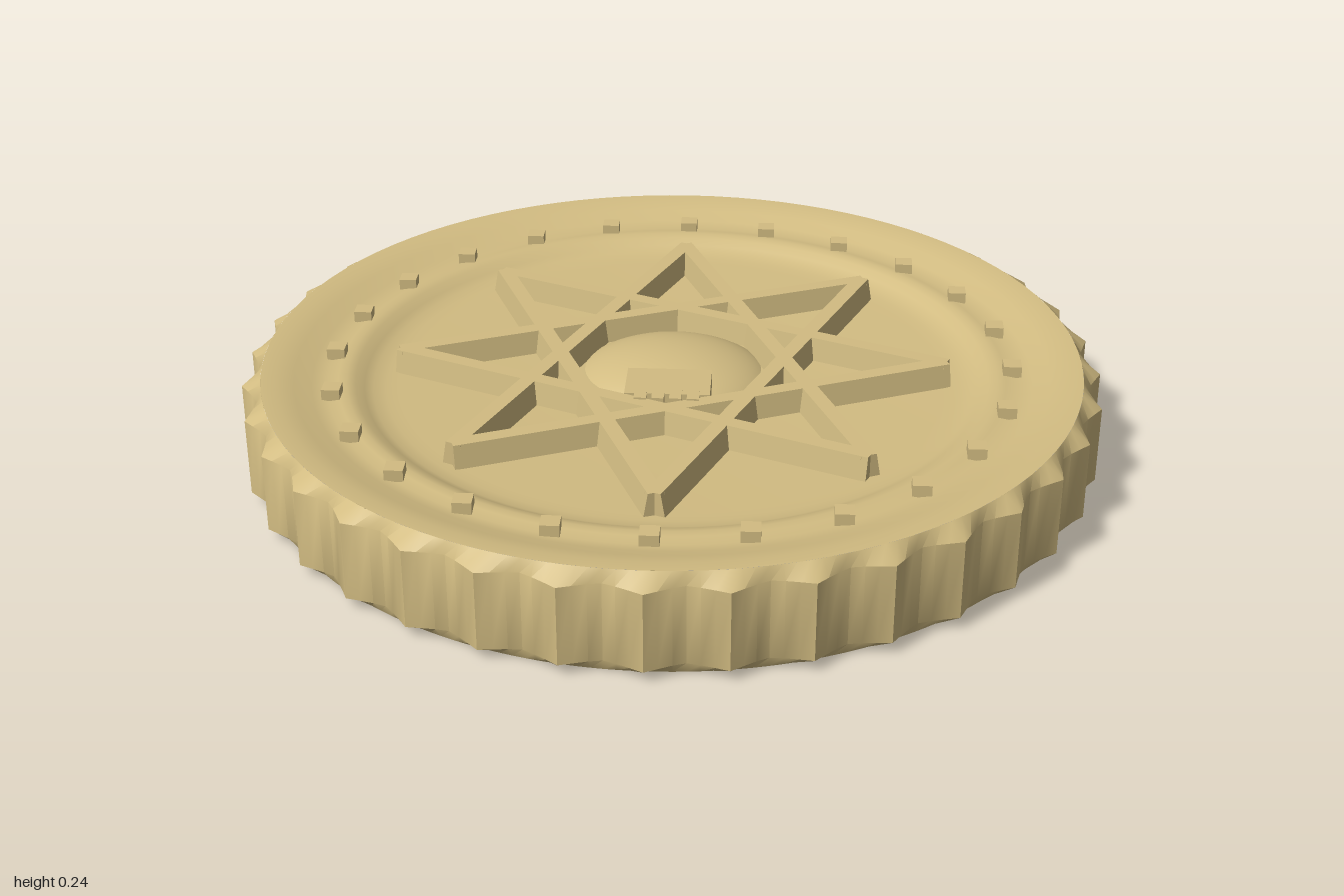
import * as THREE from 'three';
import { toCreasedNormals } from 'three/addons/utils/BufferGeometryUtils.js';

const HEIGHT = 0.24;
const RIDGES = 36;

// Scalloped edge: rings of a rippled circle, bevelled at top and bottom
function ridgedBand() {
  const steps = 6, n = RIDGES * steps;
  const rings = [[0, 0], [0.028, 1], [0.212, 1], [HEIGHT, 0]];
  const pos = [], index = [];
  for (const [y, ripple] of rings) {
    for (let i = 0; i <= n; i++) {
      const a = (i / n) * Math.PI * 2;
      const wave = Math.abs((i % steps) / steps - 0.5) * 2;
      const r = ripple ? 0.966 + 0.034 * Math.pow(wave, 1.3) : 0.955;
      pos.push(Math.sin(a) * r, y, Math.cos(a) * r);
    }
  }
  for (let k = 0; k < rings.length - 1; k++) {
    for (let i = 0; i < n; i++) {
      const a = k * (n + 1) + i, b = a + 1, c = a + n + 1, d = c + 1;
      index.push(a, b, d, a, d, c);
    }
  }
  const g = new THREE.BufferGeometry();
  g.setAttribute('position', new THREE.Float32BufferAttribute(pos, 3));
  g.setIndex(index);
  return toCreasedNormals(g, 0.7);
}

// Dished face: raised rim, slope, low bead and flat floor
function dishedFace() {
  const profile = [
    [0.955, 0.24], [0.92, 0.238], [0.88, 0.228], [0.84, 0.214], [0.805, 0.207],
    [0.78, 0.212], [0.76, 0.213], [0.74, 0.208], [0.72, 0.195], [0.7, 0.186],
    [0.67, 0.182], [0.64, 0.18], [0, 0.18],
  ].map(([r, y]) => new THREE.Vector2(r, y));
  return toCreasedNormals(new THREE.LatheGeometry(profile, 96), 0.7);
}

// Tapered bar along z, set off from the centre
function starBar() {
  const s = new THREE.Shape([
    new THREE.Vector2(-0.03, 0.17), new THREE.Vector2(0.03, 0.17),
    new THREE.Vector2(0.018, 0.235), new THREE.Vector2(-0.018, 0.235),
  ]);
  const length = 1.19;
  const g = new THREE.ExtrudeGeometry(s, { depth: length, bevelEnabled: false });
  return g.translate(0.243, 0, -length / 2);
}

export function createModel() {
  const gold = new THREE.MeshStandardMaterial({ color: 0xd2bc82 });
  gold.name = 'pale gold';
  const model = new THREE.Group();
  model.name = 'medallion';

  const add = (parent, name, geometry, x = 0, y = 0, z = 0) => {
    const m = new THREE.Mesh(geometry, gold);
    m.name = name;
    m.position.set(x, y, z);
    parent.add(m);
    return m;
  };

  add(model, 'ridgedEdge', ridgedBand());

  const faceGeo = dishedFace();
  const barGeo = starBar();
  const studGeo = new THREE.BoxGeometry(0.042, 0.05, 0.042);
  const domeGeo = new THREE.SphereGeometry(0.25, 48, 16, 0, Math.PI * 2, 0, Math.PI / 2);
  domeGeo.scale(1, 0.44, 0.9);
  const jawGeo = new THREE.BoxGeometry(0.195, 0.055, 0.125);
  const toothGeo = new THREE.BoxGeometry(0.028, 0.05, 0.042);

  function side(name) {
    const g = new THREE.Group();
    g.name = name;
    add(g, 'dishedFace', faceGeo);

    // Eight-pointed star
    for (let i = 0; i < 8; i++) {
      add(g, 'starBar', barGeo).rotation.y = Math.PI / 8 + (i * Math.PI) / 4;
    }

    // Ring of square studs
    for (let i = 0; i < 24; i++) {
      const a = (i * Math.PI) / 12;
      add(g, 'stud', studGeo, Math.sin(a) * 0.795, 0.21, Math.cos(a) * 0.795);
    }

    // Skull: dome, jaw and teeth
    add(g, 'skullDome', domeGeo, 0, 0.12, -0.04);
    add(g, 'jaw', jawGeo, 0, 0.21, 0.142);
    for (let i = 0; i < 4; i++) {
      add(g, 'tooth', toothGeo, (i - 1.5) * 0.04, 0.214, 0.208);
    }
    model.add(g);
    return g;
  }

  side('upperSide');
  const lower = side('lowerSide');
  lower.rotation.z = Math.PI;
  lower.position.y = HEIGHT;

  return model;
}
